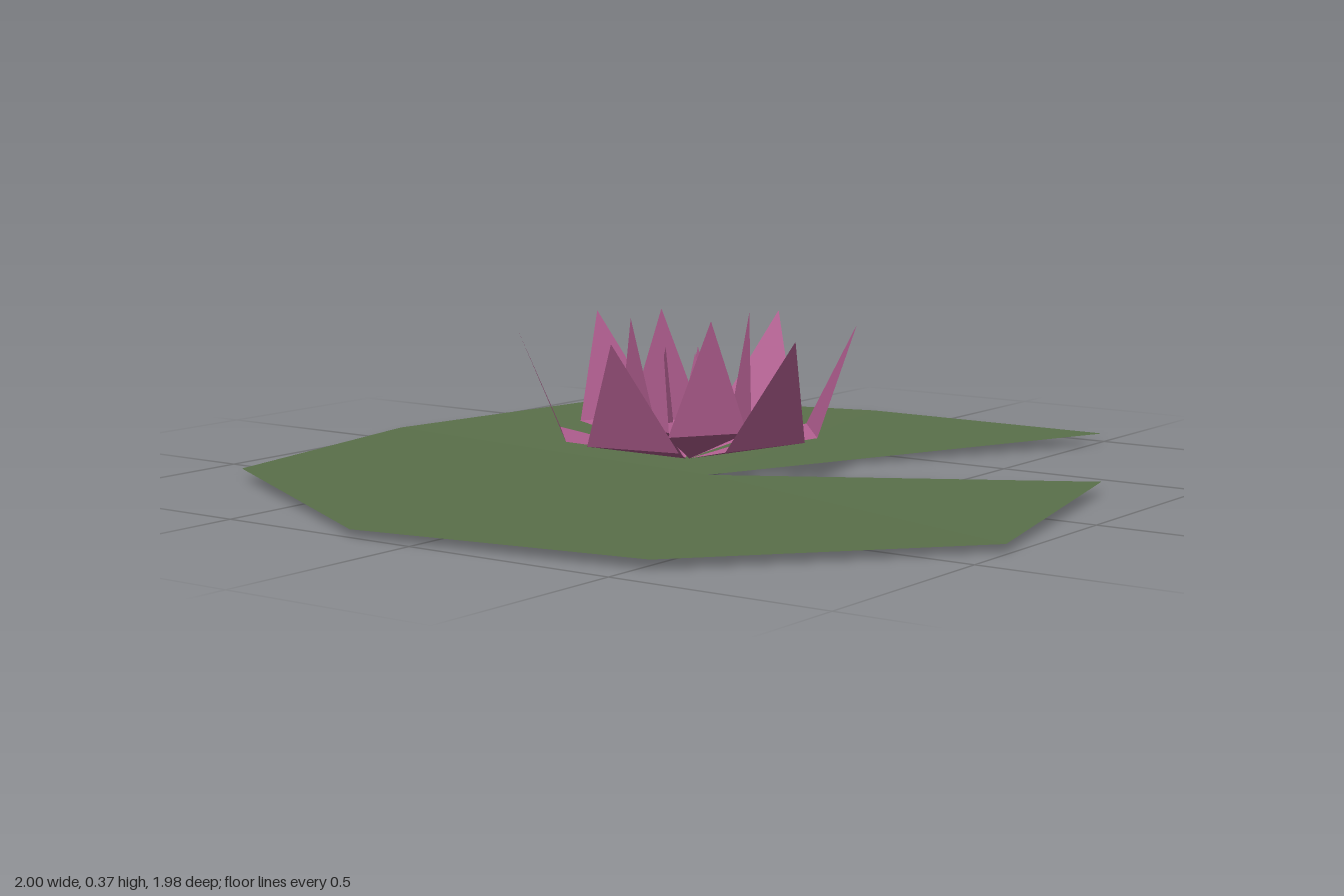
import * as THREE from 'three';

// Flat-shaded fold of triangles from a few corner points
function facets(points, faces, material, name) {
  const geo = new THREE.BufferGeometry();
  geo.setAttribute('position', new THREE.Float32BufferAttribute(faces.flat().flatMap((i) => points[i]), 3));
  geo.computeVertexNormals();
  const mesh = new THREE.Mesh(geo, material);
  mesh.name = name;
  return mesh;
}

export function createModel() {
  const leafGreen = new THREE.MeshStandardMaterial({ color: 0x5a704a, side: THREE.DoubleSide, flatShading: true });
  leafGreen.name = 'leafGreen';
  const petalPink = new THREE.MeshStandardMaterial({ color: 0xb46092, side: THREE.DoubleSide, flatShading: true });
  petalPink.name = 'petalPink';

  const model = new THREE.Group();
  model.name = 'waterLily';

  // Shallow dished leaf with a wedge notch: centre, then the rim
  const rim = [
    [0.03, 0, -0.01],
    [0.95, 0.028, 0.52], [1, 0.02, -0.17], [0.77, 0.028, -0.83], [0.07, 0.017, -0.99], [-0.65, 0.028, -0.82],
    [-1, 0.017, -0.16], [-0.91, 0.022, 0.53], [-0.36, 0.017, 0.99], [0.33, 0.028, 0.84],
  ];
  const fan = [];
  for (let i = 1; i < rim.length - 1; i++) fan.push([0, i, i + 1]);
  model.add(facets(rim, fan, leafGreen, 'lilyPad'));

  // Rings of folded petals
  const flower = new THREE.Group();
  flower.name = 'flower';
  flower.position.set(0, 0, -0.045);
  model.add(flower);
  const rings = [
    { name: 'outerPetal', angles: [-2, 50, 107, 169, 228, 290], r: 0.285, half: 0.112, y: 0.1, tipR: 0.388, tipY: 0.345 },
    { name: 'middlePetal', angles: [-61, 40, 123, 206], r: 0.125, half: 0.095, y: 0.11, tipR: 0.145, tipY: 0.37 },
    { name: 'innerPetal', angles: [-15, 57, 129, 201, 273], r: 0.08, half: 0.045, y: 0.11, tipR: 0.065, tipY: 0.29 },
  ];
  for (const { name, angles, r, half, y, tipR, tipY } of rings) {
    for (const angle of angles) {
      const points = [[0.01, 0.04, 0], [r, y, half], [r, y, -half], [tipR, tipY, 0]];
      const petal = facets(points, [[0, 1, 2], [2, 1, 3]], petalPink, name);
      petal.rotation.y = -THREE.MathUtils.degToRad(angle);
      flower.add(petal);
    }
  }
  return model;
}
